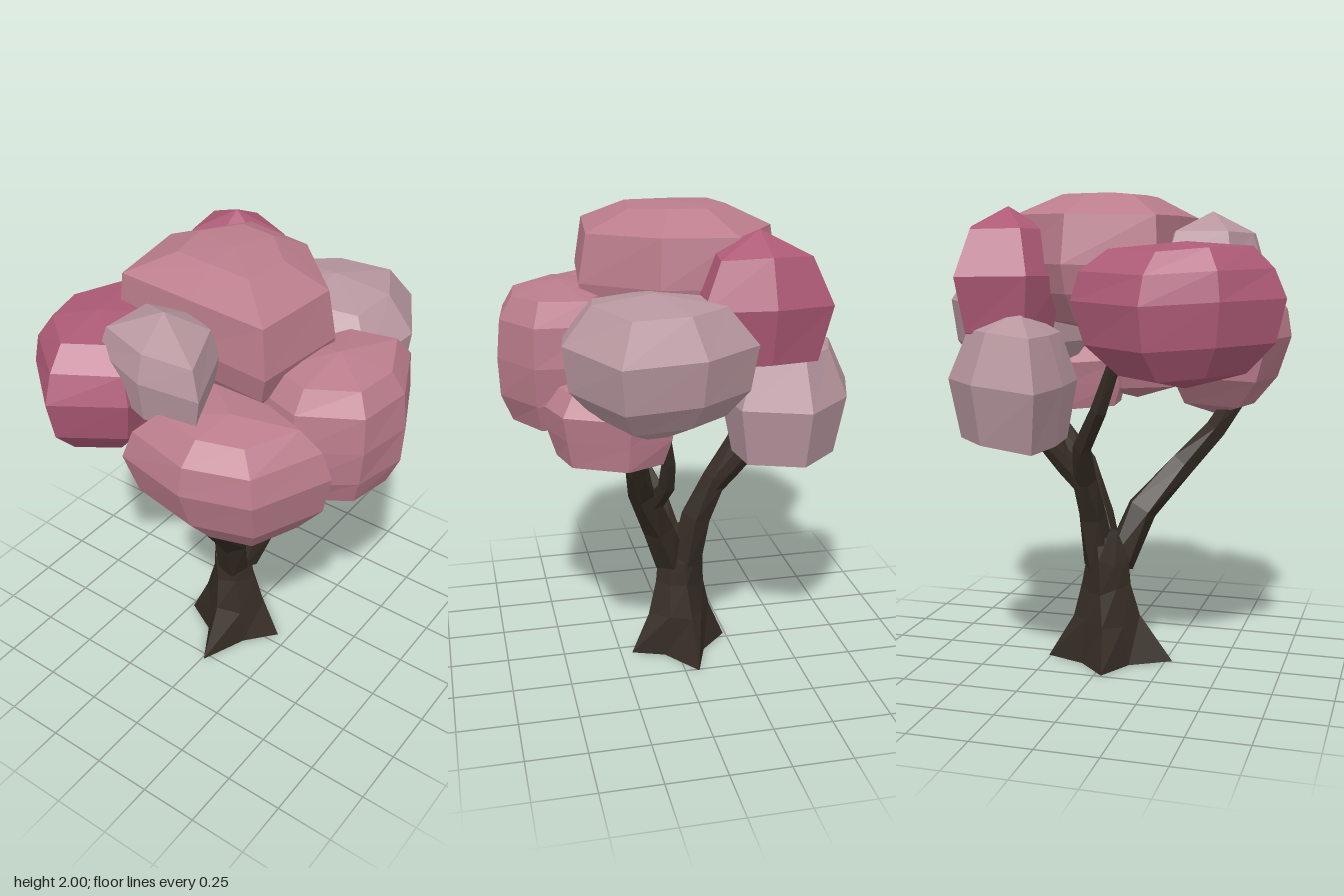
import * as THREE from 'three';

const V = (x, y, z) => new THREE.Vector3(x, y, z);
const paint = (color) => new THREE.MeshStandardMaterial({ color, flatShading: true });

// Small repeatable wobble in -1..1
const wobble = (i) => {
  const s = Math.sin(i * 127.1 + 11.7) * 43758.5453;
  return (s - Math.floor(s)) * 2 - 1;
};

// Skin a list of equal-length rings, closing both ends with a fan
function loft(rings, bottom, top) {
  const n = rings[0].length;
  const points = [...rings.flat(), bottom, top];
  const b = points.length - 2, t = b + 1, last = (rings.length - 1) * n;
  const index = [];
  for (let i = 0; i < n; i++) {
    const j = (i + 1) % n;
    for (let r = 0; r < rings.length - 1; r++) {
      const o = r * n;
      index.push(o + i, o + n + i, o + j, o + j, o + n + i, o + n + j);
    }
    index.push(b, i, j, t, last + j, last + i);
  }
  const geometry = new THREE.BufferGeometry().setFromPoints(points);
  geometry.setIndex(index);
  geometry.computeVertexNormals();
  return geometry;
}

// Clump profiles: [height from -1 to 1, scale of the plan outline]
const round = [[-0.82, 0.6], [-0.4, 0.9], [0.2, 1], [0.6, 0.9], [0.9, 0.66]];
const full = [[-0.76, 0.8], [-0.4, 0.95], [0.1, 1], [0.6, 0.95], [0.88, 0.76]];
const domed = [[-0.8, 0.7], [-0.4, 0.93], [0, 1], [0.67, 0.94], [0.96, 0.48]];
const squat = [[-0.94, 0.82], [-0.3, 0.93], [0.3, 1], [0.75, 0.78]];
const highWaist = [[-0.6, 0.7], [-0.25, 0.93], [0.36, 1], [0.86, 0.68]];
const boxy = [[-0.82, 0.82], [0, 1], [0.68, 0.7]];
const blocky = [[-0.7, 0.85], [0.1, 1], [0.6, 0.84]];

// Faceted foliage clump: a plan outline scaled along a profile; lean shifts its underside in x
function clumpGeometry(profile, y0, y1, outline, seed, lean = 0) {
  const n = outline.length;
  const cx = outline.reduce((s, p) => s + p[0], 0) / n;
  const cz = outline.reduce((s, p) => s + p[1], 0) / n;
  const angle = (p) => Math.atan2(p[1] - cz, p[0] - cx);
  const plan = [...outline].sort((a, b) => angle(a) - angle(b));
  const cy = (y0 + y1) / 2, h = (y1 - y0) / 2;
  const rings = profile.map(([v, s], r) => plan.map(([x, z], i) => {
    const k = s === 1 ? 1 : s * (1 + 0.03 * wobble(seed * 50 + r * 9 + i));
    const shift = lean * Math.max(0, -v);
    return V(cx + (x - cx) * k + shift, cy + h * (v + 0.04 * wobble(seed * 31 + i)), cz + (z - cz) * k);
  }));
  return loft(rings, V(cx + lean, y0, cz), V(cx, y1, cz));
}

// Tapering five-sided limb through [x, y, z, radius] stations
function limbGeometry(stations, sides = 5) {
  const pts = stations.map(([x, y, z]) => V(x, y, z));
  const rings = pts.map((p, k) => {
    const t = pts[Math.min(k + 1, pts.length - 1)].clone().sub(pts[Math.max(k - 1, 0)]).normalize();
    const u = V(1, 0, 0).addScaledVector(t, -t.x).normalize();
    const v = u.clone().cross(t);
    return Array.from({ length: sides }, (_, i) => {
      const a = (i / sides) * Math.PI * 2 + k * 0.25;
      const r = stations[k][3] * (1 + 0.1 * wobble(k * 7 + i));
      return p.clone().addScaledVector(u, Math.cos(a) * r).addScaledVector(v, Math.sin(a) * r);
    });
  });
  return loft(rings, pts[0], pts[pts.length - 1]);
}

// Trunk whose foot spreads into four pointed roots
function trunkGeometry() {
  const foot = [[0.26, -0.06], [0.1, 0.06], [0.05, 0.2], [-0.08, 0.09],
    [-0.28, 0.01], [-0.11, -0.09], [-0.03, -0.24], [0.09, -0.12]];
  const rings = [foot.map(([x, z]) => V(x, 0, z))];
  const levels = [[0.18, 0.14, 0.005, -0.02], [0.32, 0.105, 0.005, -0.025], [0.45, 0.095, 0, -0.03], [0.57, 0.065, 0.01, -0.05]];
  levels.forEach(([y, r, cx, cz], k) => rings.push(foot.map(([x, z], i) => {
    const a = Math.atan2(z, x) + k * 0.12;
    const rr = r * (i % 2 ? 0.83 : 1.04);
    return V(cx + Math.cos(a) * rr, y + 0.025 * wobble(k * 10 + i), cz + Math.sin(a) * rr);
  })));
  return loft(rings, V(0, 0.02, 0), V(0.01, 0.57, -0.05));
}

export function createModel() {
  const tree = new THREE.Group();
  tree.name = 'tree';
  const bark = paint(0x352c24);
  const pink = paint(0xbb7d8c), crimson = paint(0xad5a76), pale = paint(0xb8979f);
  const add = (name, geometry, material) => {
    const mesh = new THREE.Mesh(geometry, material);
    mesh.name = name;
    tree.add(mesh);
  };

  add('trunk', trunkGeometry(), bark);

  // Branches and their forks
  const limbs = {
    rightBranch: [[-0.04, 0.42, 0, 0.07], [-0.13, 0.66, 0.06, 0.068], [-0.29, 0.85, 0.14, 0.056], [-0.42, 1.0, 0.2, 0.05], [-0.53, 1.17, 0.24, 0.045]],
    leftBranch: [[0.01, 0.43, 0.02, 0.07], [0.07, 0.62, 0.08, 0.066], [0.17, 0.83, 0.17, 0.058], [0.28, 0.97, 0.21, 0.046], [0.39, 1.15, 0.22, 0.037]],
    leftFork: [[0.14, 0.76, 0.12, 0.04], [0.24, 0.88, 0.08, 0.034], [0.29, 1.0, 0.08, 0.03], [0.34, 1.2, 0.12, 0.024]],
    backBranch: [[0.03, 0.43, -0.04, 0.07], [0.05, 0.65, -0.09, 0.062], [0.06, 0.82, -0.17, 0.053], [0.04, 0.98, -0.27, 0.043], [-0.06, 1.14, -0.36, 0.036], [-0.14, 1.35, -0.4, 0.028]],
    backFork: [[0.06, 0.78, -0.16, 0.038], [0.13, 0.88, -0.22, 0.033], [0.2, 1.0, -0.29, 0.03], [0.24, 1.1, -0.34, 0.025]],
  };
  for (const [name, stations] of Object.entries(limbs)) add(name, limbGeometry(stations), bark);

  // Foliage: name, colour, profile, lowest y, highest y, plan outline as [x, z], lean
  const clumps = [
    ['crownFoliage', pink, domed, 1.42, 2.0, [[-0.29, -0.35], [0.08, -0.41], [0.36, -0.19], [0.33, 0.12], [0.08, 0.4], [-0.33, 0.36], [-0.31, 0]]],
    ['frontFoliage', pink, full, 1.09, 1.71, [[-0.32, 0.47], [-0.16, 0.69], [0.08, 0.73], [0.33, 0.61], [0.3, 0.35], [0.02, 0.2], [-0.25, 0.25]]],
    ['frontRightFoliage', pink, round, 1.05, 1.63, [[-0.67, -0.04], [-0.73, 0.27], [-0.63, 0.52], [-0.33, 0.66], [-0.22, 0.4], [-0.26, 0.05]], 0.07],
    ['leftFoliage', pale, highWaist, 1.16, 1.74, [[0.55, -0.21], [0.73, 0.03], [0.78, 0.35], [0.48, 0.52], [0.2, 0.48], [0.12, 0.15], [0.3, -0.15]]],
    ['lowerLeftFoliage', pink, squat, 1.06, 1.4, [[0.57, 0.28], [0.45, 0.52], [0.28, 0.58], [0.04, 0.52], [0.0, 0.25], [0.26, 0.08], [0.52, 0.1]]],
    ['backLeftFoliage', crimson, boxy, 1.4, 1.94, [[0.48, -0.52], [0.57, -0.27], [0.48, -0.01], [0.25, -0.02], [0.12, -0.25], [0.2, -0.47]]],
    ['lowerBackFoliage', pale, boxy, 0.96, 1.54, [[0.08, -0.73], [0.37, -0.63], [0.55, -0.43], [0.43, -0.18], [0.25, -0.14], [0.08, -0.2], [0.06, -0.45]]],
    ['backRightFoliage', crimson, round, 1.24, 1.8, [[-0.29, -0.65], [-0.57, -0.55], [-0.78, -0.3], [-0.6, -0.06], [-0.2, -0.08], [0.02, -0.48]]],
    ['upperRightFoliage', pale, blocky, 1.5, 1.92, [[-0.55, -0.23], [-0.63, 0.02], [-0.6, 0.27], [-0.3, 0.14], [-0.24, -0.02], [-0.3, -0.22]]],
  ];
  clumps.forEach(([name, material, profile, y0, y1, outline, lean], i) =>
    add(name, clumpGeometry(profile, y0, y1, outline, i + 1, lean), material));

  return tree;
}
